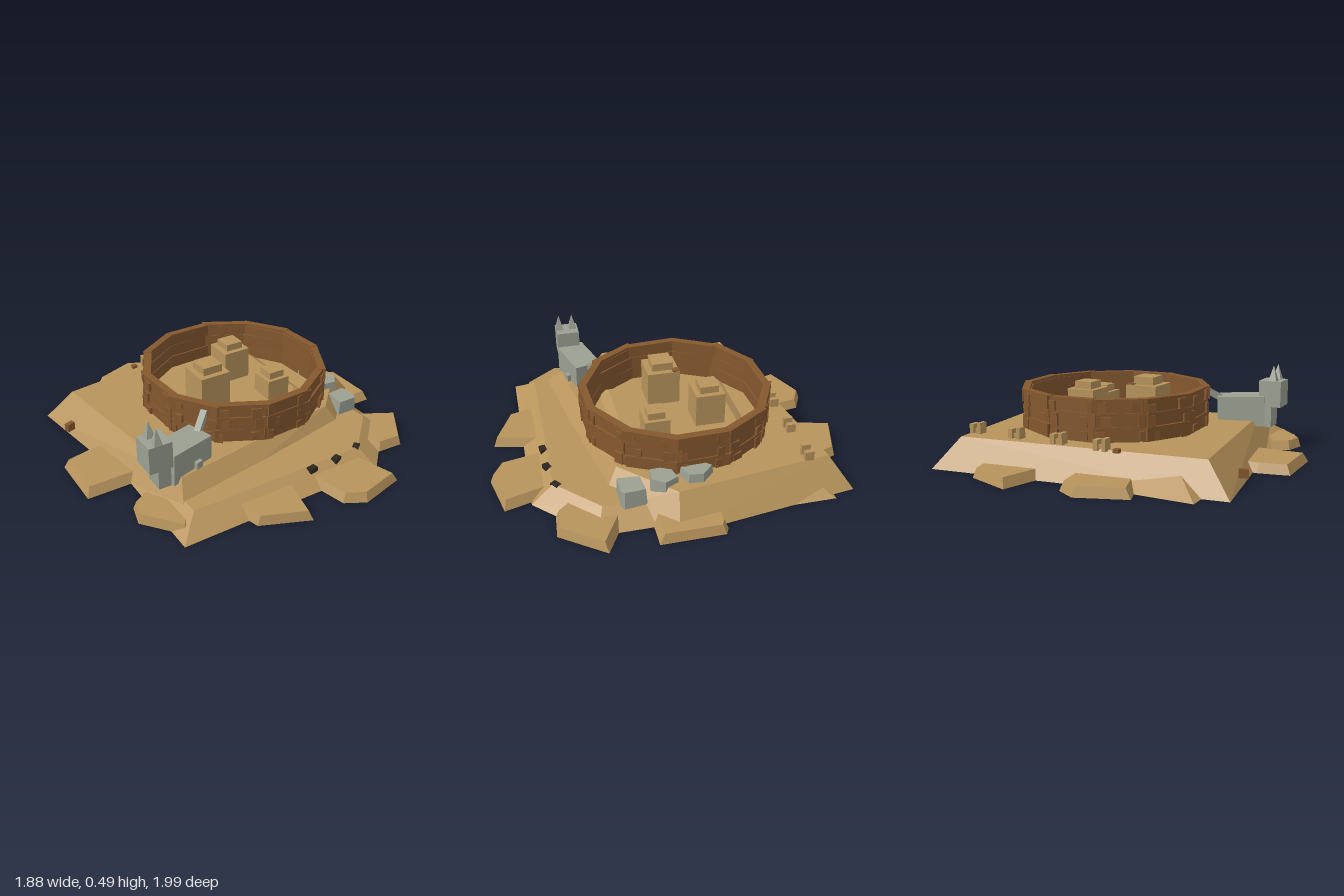
import * as THREE from 'three';
import { ConvexGeometry } from 'three/addons/geometries/ConvexGeometry.js';

const mat = (name, color) => {
  const m = new THREE.MeshStandardMaterial({ color });
  m.name = name;
  return m;
};

export function createModel() {
  const root = new THREE.Group();
  root.name = 'hillFort';
  const sand = mat('sand', 0xb8945c);
  const timber = mat('timber', 0x85582f);
  const stone = mat('stone', 0x9ca193);
  const soot = mat('soot', 0x2c2620);

  let seed = 11;
  const rand = () => {
    seed = (seed * 16807) % 2147483647;
    return seed / 2147483647 - 0.5;
  };

  const add = (name, geo, material, parent = root) => {
    const m = new THREE.Mesh(geo, material);
    m.name = name;
    parent.add(m);
    return m;
  };
  // Box given by its centre in x and z, and its bottom and top heights
  const box = (name, material, x, z, w, d, y0, y1, turn = 0, parent = root) => {
    const m = add(name, new THREE.BoxGeometry(w, y1 - y0, d), material, parent);
    m.position.set(x, (y0 + y1) / 2, z);
    m.rotation.y = turn;
    return m;
  };
  // Solid between a lower outline and an upper outline of [x, z] points
  const frustum = (name, material, low, high, y0, y1) => add(name, new ConvexGeometry([
    ...low.map(([x, z]) => new THREE.Vector3(x, y0, z)),
    ...high.map(([x, z]) => new THREE.Vector3(x, y1, z)),
  ]), material);
  const shrink = (pts, k) => {
    const cx = pts.reduce((s, p) => s + p[0], 0) / pts.length;
    const cz = pts.reduce((s, p) => s + p[1], 0) / pts.length;
    return pts.map(([x, z]) => [cx + (x - cx) * k, cz + (z - cz) * k]);
  };

  // Low terrace with a cut front corner
  frustum('terrace', sand,
    [[-0.7, -0.77], [0.81, -0.77], [0.81, 0.49], [0.5, 0.79], [-0.7, 0.79]],
    [[-0.58, -0.65], [0.69, -0.65], [0.69, 0.45], [0.46, 0.67], [-0.58, 0.67]], 0, 0.085);

  // Turned plateau above the terrace
  frustum('plateau', sand,
    [[-0.835, -0.665], [0.76, -0.89], [0.9, 0.1], [0.58, 0.44], [-0.63, 0.67]],
    [[-0.69, -0.585], [0.65, -0.775], [0.765, 0.07], [0.49, 0.34], [-0.55, 0.5]], 0, 0.165);

  // Loose ground slabs around the foot of the hill
  [
    [[-0.945, -0.115], [-0.78, -0.15], [-0.6, -0.15], [-0.6, 0.21], [-0.945, 0.21]],
    [[-0.42, -0.85], [-0.16, -0.95], [-0.05, -0.89], [-0.02, -0.7], [-0.36, -0.68]],
    [[0.2, -1], [0.46, -0.915], [0.49, -0.82], [0.4, -0.68], [0.13, -0.72]],
    [[0.65, -0.15], [0.9, -0.15], [0.94, -0.13], [0.94, 0.21], [0.65, 0.21]],
    [[0.94, 0.46], [0.77, 0.69], [0.62, 0.68], [0.55, 0.6], [0.72, 0.34]],
    [[0.1, 0.7], [0.15, 0.93], [0.26, 0.99], [0.52, 0.93], [0.44, 0.66]],
    [[-0.36, 0.7], [-0.32, 0.845], [-0.06, 0.955], [0, 0.7]],
    [[-0.69, 0.35], [-0.78, 0.4], [-0.81, 0.52], [-0.64, 0.73], [-0.55, 0.6]],
  ].forEach((pts) => frustum('groundSlab', sand, pts, shrink(pts, 0.86), 0, 0.052));

  // Raised courtyard inside the wall
  frustum('courtyard', sand,
    [[-0.27, -0.45], [0.49, -0.45], [0.49, 0.14], [0.32, 0.315], [-0.27, 0.315]],
    [[-0.21, -0.385], [0.43, -0.385], [0.43, 0.11], [0.285, 0.255], [-0.21, 0.255]], 0.16, 0.2);

  // Stepped houses
  [
    [-0.08, -0.03, 0.185, 0.12, 0.4, 0.445],
    [0.195, -0.23, 0.165, 0.105, 0.385, 0.425],
    [0.285, 0.085, 0.14, 0.095, 0.315, 0.355],
  ].forEach(([x, z, w, roofW, y1, y2]) => {
    box('house', sand, x, z, w, w, 0.19, y1);
    box('houseRoof', sand, x, z, roofW, roofW, y1, y2);
  });
  box('roofHatch', timber, -0.01, -0.1, 0.04, 0.035, 0.39, 0.407);

  // Ring wall of three rows of rough planks with cleats at the joints
  const wall = new THREE.Group();
  wall.name = 'ringWall';
  wall.position.set(0.11, 0, -0.068);
  root.add(wall);
  const sides = 12;
  const onRing = (name, a, r, w, d, y0, y1) => {
    const m = box(name, timber, Math.sin(a) * r, Math.cos(a) * r, w, d, y0, y1, a, wall);
    m.rotation.order = 'YXZ';
    return m;
  };
  for (let i = 0; i < sides; i++) {
    const a = (i / sides) * Math.PI * 2 + 0.05;
    onRing('wallCore', a, 0.49, 0.27, 0.03, 0.165, 0.375);
    for (let row = 0; row < 3; row++) {
      const y = 0.175 + row * 0.073;
      const plank = onRing('wallPlank', a + rand() * 0.04, 0.495 + rand() * 0.016,
        0.285 + rand() * 0.03, 0.042, y, y + 0.07);
      plank.rotation.z = rand() * 0.035;
      for (const side of [-1, 1]) {
        const cleat = onRing('wallCleat', a + side * (0.19 + rand() * 0.1), 0.514,
          0.05 + rand() * 0.02, 0.03, y - 0.005 + rand() * 0.02, y + 0.05 + rand() * 0.02);
        cleat.rotation.z = rand() * 0.12;
      }
    }
  }

  // Stone keep with an overhanging twin-spired tower
  box('keep', stone, -0.485, 0.39, 0.27, 0.16, 0.13, 0.305, 0.29).rotation.z = -0.04;
  box('keepDoor', stone, -0.435, 0.465, 0.04, 0.03, 0.16, 0.205, 0.29);
  box('towerFoot', stone, -0.635, 0.43, 0.07, 0.11, 0.13, 0.27);
  box('tower', stone, -0.66, 0.435, 0.13, 0.135, 0.25, 0.4);
  for (const z of [0.4, 0.48]) {
    const spire = add('spire', new THREE.ConeGeometry(0.033, 0.09, 4).toNonIndexed(), stone);
    spire.geometry.rotateY(Math.PI / 4);
    spire.geometry.computeVertexNormals();
    spire.position.set(-0.67, 0.445, z);
  }
  const brace = box('keepBrace', stone, -0.325, 0.31, 0.13, 0.035, 0.295, 0.335, 0.7);
  brace.rotation.order = 'YXZ';
  brace.rotation.z = 0.5;

  // Boulders stepping down the front corner
  const boulder = (pts, y0, y1) => frustum('boulder', stone, pts, shrink(pts, 0.9), y0, y1);
  boulder([[0.65, -0.14], [0.72, -0.07], [0.71, 0.01], [0.63, 0.04], [0.58, -0.05]], 0.15, 0.215);
  boulder([[0.69, 0.05], [0.73, 0.13], [0.68, 0.2], [0.59, 0.19], [0.59, 0.08]], 0.13, 0.2);
  boulder([[0.59, 0.23], [0.71, 0.22], [0.72, 0.34], [0.7, 0.36], [0.58, 0.36]], 0.065, 0.165);

  // Burnt blocks along the terrace edge
  [[0.13, 0.69, 0.15], [0.295, 0.685, 0.35], [0.46, 0.655, 0.65]].forEach(([x, z, turn]) =>
    box('burntBlock', soot, x, z, 0.05, 0.035, 0.06, 0.086, turn));

  // Paired stakes along the back edge
  for (const x of [-0.15, 0.105, 0.37, 0.63]) {
    box('stake', sand, x - 0.025, -0.66, 0.022, 0.05, 0.16, 0.225);
    box('stake', sand, x + 0.025, -0.66, 0.026, 0.05, 0.16, 0.215);
    box('stakeRail', sand, x, -0.66, 0.05, 0.02, 0.17, 0.19);
  }
  box('peg', timber, -0.24, -0.665, 0.03, 0.03, 0.16, 0.18);
  box('peg', timber, -0.795, -0.39, 0.05, 0.03, 0.04, 0.085, 0.4);

  return root;
}
